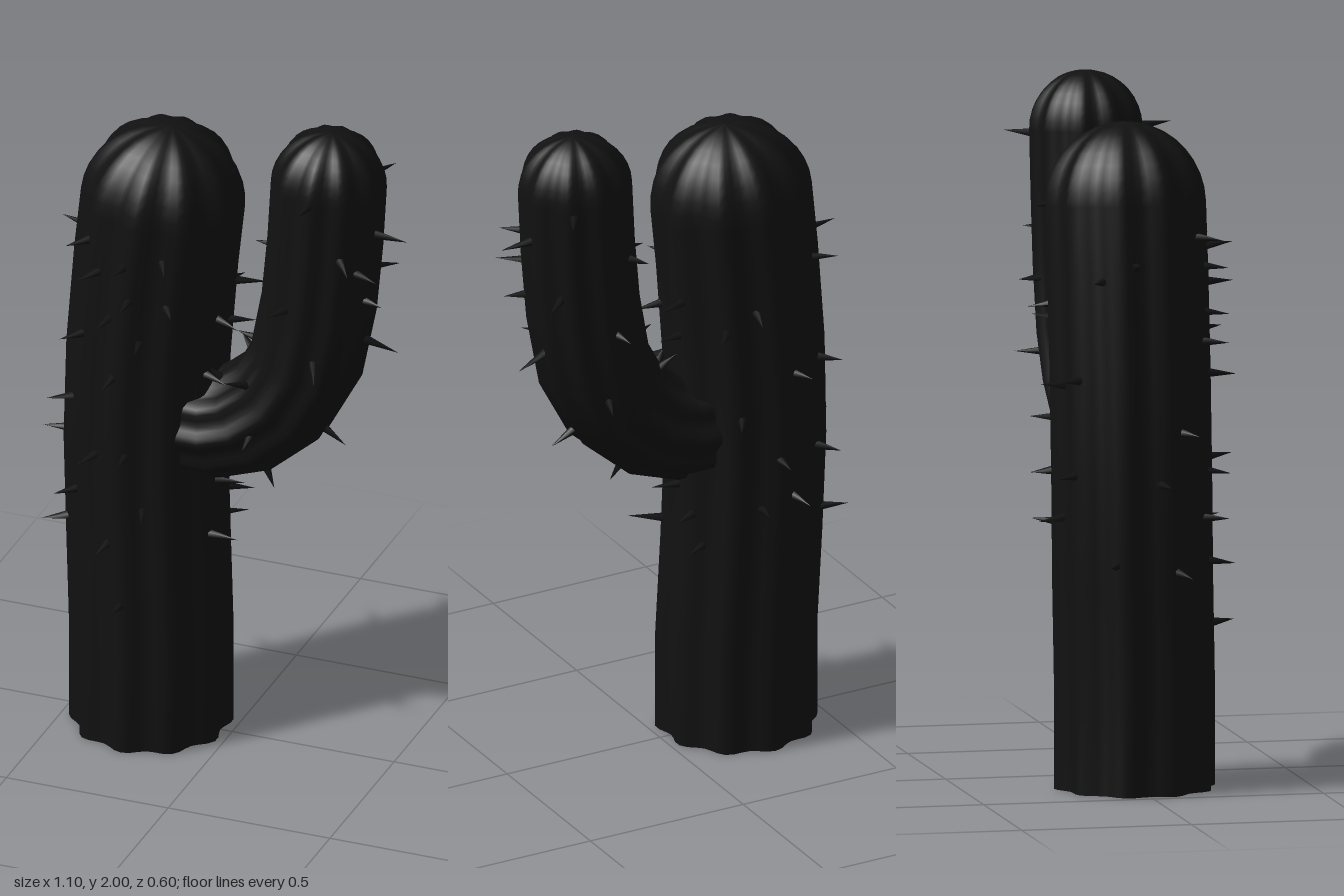
import * as THREE from 'three';

const RIBS = 10, SEG = RIBS * 6, DEPTH = 0.1;
const material = new THREE.MeshStandardMaterial({ color: 0x111111 });
const V = (x, y, z) => new THREE.Vector3(x, y, z);

// Direction of the path at point i, and the outward direction at angle a (0 = +x, 90 deg = +z)
function tangent(path, i) {
  const a = path[Math.max(i - 1, 0)], b = path[Math.min(i + 1, path.length - 1)];
  return b.clone().sub(a).normalize();
}
function outward(t, a) {
  const side = V(t.y, -t.x, 0).normalize();
  return side.multiplyScalar(Math.cos(a)).add(V(0, 0, Math.sin(a)));
}
const ribRadius = (r, a) => r * (1 - DEPTH / 2 - (DEPTH / 2) * Math.cos(RIBS * a));

// Ribbed limb swept along a path, closed by a flat base and a domed tip
function ribbedLimb(name, path, radius) {
  const rings = path.map((c, i) => ({ c, t: tangent(path, i), r: radius }));
  const last = rings[rings.length - 1];
  for (let k = 1; k <= 9; k++) {
    const a = (k / 9) * Math.PI / 2;
    rings.push({
      c: last.c.clone().addScaledVector(last.t, radius * Math.sin(a)),
      t: last.t, r: Math.max(radius * Math.cos(a), 0.0005),
    });
  }
  const pos = [], index = [];
  for (const { c, t, r } of rings) {
    for (let j = 0; j < SEG; j++) {
      const a = (j / SEG) * Math.PI * 2;
      pos.push(...c.clone().addScaledVector(outward(t, a), ribRadius(r, a)).toArray());
    }
  }
  for (let i = 0; i < rings.length - 1; i++) {
    for (let j = 0; j < SEG; j++) {
      const a = i * SEG + j, b = i * SEG + (j + 1) % SEG;
      index.push(a, a + SEG, b, b, a + SEG, b + SEG);
    }
  }
  // Separate base vertices keep the bottom edge sharp
  const base = pos.length / 3;
  pos.push(...pos.slice(0, SEG * 3), ...path[0].toArray());
  for (let j = 0; j < SEG; j++) index.push(base + j, base + (j + 1) % SEG, base + SEG);

  const geo = new THREE.BufferGeometry();
  geo.setAttribute('position', new THREE.Float32BufferAttribute(pos, 3));
  geo.setIndex(index);
  geo.computeVertexNormals();
  const mesh = new THREE.Mesh(geo, material);
  mesh.name = name;
  return mesh;
}

// Thin cones standing on the limb; each entry is [angle in degrees, position along path, length]
function spines(name, path, radius, list) {
  const group = new THREE.Group();
  group.name = name;
  list.forEach(([deg, at, len = 0.085], n) => {
    const i = Math.min(Math.floor(at), path.length - 2);
    const a = deg * Math.PI / 180;
    const c = path[i].clone().lerp(path[i + 1], at - i);
    const t = tangent(path, i).lerp(tangent(path, i + 1), at - i).normalize();
    const dir = outward(t, a);
    const root = c.addScaledVector(dir, ribRadius(radius, a) - 0.015);
    dir.addScaledVector(t, 0.12 * Math.sin(n * 2.4)).normalize();
    const cone = new THREE.ConeGeometry(0.015, len + 0.015, 6);
    cone.translate(0, (len + 0.015) / 2, 0);
    const mesh = new THREE.Mesh(cone, material);
    mesh.name = 'spine';
    mesh.position.copy(root);
    mesh.quaternion.setFromUnitVectors(V(0, 1, 0), dir);
    group.add(mesh);
  });
  return group;
}

export function createModel() {
  const model = new THREE.Group();
  model.name = 'cactus';

  // Trunk, points 0.3 apart in height
  const trunk = [
    V(-0.25, 0, 0), V(-0.25, 0.3, 0), V(-0.262, 0.6, -0.008), V(-0.272, 0.9, -0.013),
    V(-0.265, 1.2, -0.016), V(-0.242, 1.5, -0.018), V(-0.222, 1.69, -0.02),
  ];
  model.add(ribbedLimb('trunk', trunk, 0.237));

  // Side arm bending upward
  const arm = [
    V(-0.2, 1.0, -0.005), V(-0.05, 1.0, -0.01), V(0.05, 1.035, -0.01), V(0.155, 1.125, -0.012),
    V(0.225, 1.255, -0.015), V(0.262, 1.45, -0.018), V(0.28, 1.65, -0.02), V(0.29, 1.835, -0.022),
  ];
  model.add(ribbedLimb('arm', arm, 0.167));

  const trunkSpines = [
    // right side of the model
    [170, 0.91], [186, 1.53, 0.09], [158, 0.66], [204, 0.68], [212, 1.48], [150, 1.05],
    // front
    [90, 0.47, 0.06], [100, 0.66], [72, 0.77], [128, 0.8], [112, 0.93], [84, 0.95], [95, 1.2],
    [126, 1.3], [78, 1.32], [104, 1.38], [60, 1.45], [88, 1.46], [118, 1.52], [94, 1.6], [130, 1.65], [66, 1.65],
    // left side
    [0, 0.8, 0.09], [-22, 0.74], [18, 0.66, 0.1], [-30, 0.64], [22, 1.2], [-12, 1.32], [16, 1.38], [-18, 1.44, 0.09],
    // back
    [232, 1.2], [258, 0.8], [284, 0.77], [272, 0.93, 0.06], [300, 1.07], [255, 1.18], [285, 1.41], [308, 1.36], [236, 0.93],
  ].map(([deg, y, len = 0.075]) => [deg, y / 0.3, len]);
  model.add(spines('trunkSpines', trunk, 0.237, trunkSpines));

  model.add(spines('armSpines', arm, 0.167, [
    [0, 6.3, 0.1], [18, 5.35, 0.06], [-8, 4.6, 0.1], [5, 3.1, 0.08], [12, 1.9, 0.06],
    [54, 6.1], [90, 7.0], [66, 4.4, 0.1], [110, 5.1], [126, 3.2], [80, 2.4, 0.06], [30, 5.8],
    [180, 5.7, 0.06], [172, 4.0, 0.06], [200, 3.0, 0.06], [160, 2.2, 0.05],
    [300, 6.9], [320, 5.5], [262, 4.8, 0.06], [290, 3.7], [234, 5.9, 0.06],
  ]));
  return model;
}
